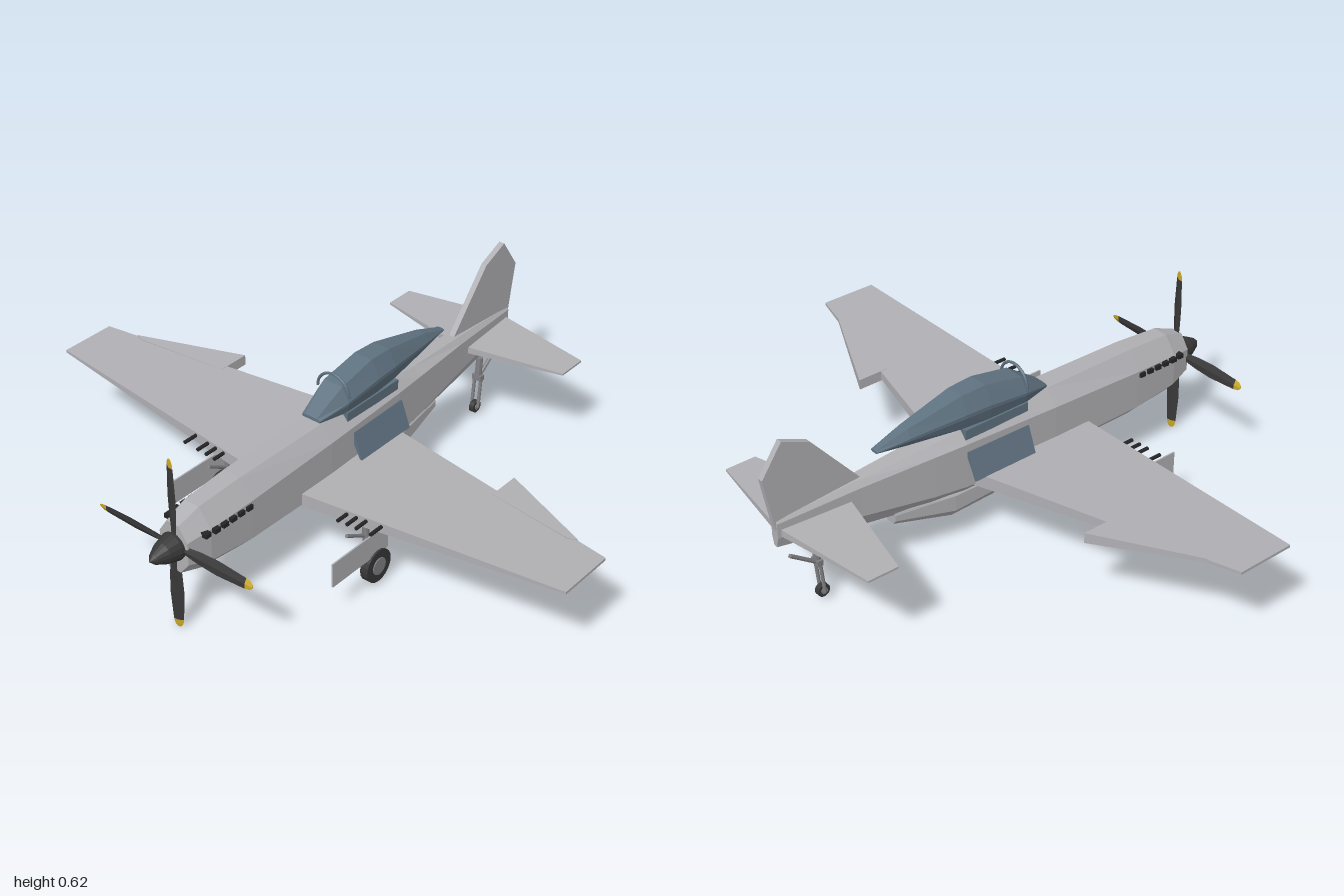
import * as THREE from 'three';

const mat = (name, color) => {
  const m = new THREE.MeshStandardMaterial({ color, flatShading: true });
  m.name = name;
  return m;
};

// Flat-shaded solid skinned over convex rings of equal point count, ends capped
function loft(rings) {
  const n = rings[0].length, tris = [];
  for (let i = 0; i < rings.length - 1; i++) {
    for (let j = 0; j < n; j++) {
      const k = (j + 1) % n, a = rings[i], b = rings[i + 1];
      tris.push([a[j], b[j], b[k]], [a[j], b[k], a[k]]);
    }
  }
  const first = rings[0], last = rings[rings.length - 1];
  for (let j = 1; j < n - 1; j++) {
    tris.push([first[0], first[j], first[j + 1]], [last[0], last[j + 1], last[j]]);
  }
  // Signed volume decides the winding, so mirrored rings still face outward
  let volume = 0;
  const c = new THREE.Vector3(...first[0]);
  for (const t of tris) {
    const [p, q, r] = t.map(v => new THREE.Vector3(...v).sub(c));
    volume += p.dot(q.cross(r));
  }
  if (volume < 0) tris.forEach(t => t.reverse());
  const g = new THREE.BufferGeometry();
  g.setAttribute('position', new THREE.Float32BufferAttribute(tris.flat(2), 3));
  g.computeVertexNormals();
  return g;
}

// Octagonal section: widths at top, middle and bottom
const octagon = ([z, top, shoulder, side, bottom, wTop, wMid, wBot]) => [
  [wTop, top, z], [wMid, shoulder, z], [wMid, side, z], [wBot, bottom, z],
  [-wBot, bottom, z], [-wMid, side, z], [-wMid, shoulder, z], [-wTop, top, z]];

export function createModel() {
  const group = new THREE.Group();
  const grey = mat('airframeGrey', 0xb0b0b4);
  const glass = mat('canopyBlue', 0x5f7280);
  const dark = mat('propellerDark', 0x383838);
  const black = mat('gunBlack', 0x242426);
  const yellow = mat('tipYellow', 0xc8a828);
  const metal = mat('strutGrey', 0x808084);

  const add = (name, geo, material, parent = group) => {
    const m = new THREE.Mesh(geo, material);
    m.name = name;
    parent.add(m);
    return m;
  };
  const box = (name, material, size, pos) => {
    const m = add(name, new THREE.BoxGeometry(...size), material);
    m.position.set(...pos);
    return m;
  };
  const rod = (name, material, a, b, r, sides = 8) => {
    const p = new THREE.Vector3(...a), q = new THREE.Vector3(...b);
    const m = add(name, new THREE.CylinderGeometry(r, r, p.distanceTo(q), sides), material);
    m.position.copy(p).add(q).multiplyScalar(0.5);
    m.quaternion.setFromUnitVectors(new THREE.Vector3(0, 1, 0), q.sub(p).normalize());
    return m;
  };
  const wheel = (name, x, y, z, r, width) => {
    rod(name + 'Tyre', dark, [x - width / 2, y, z], [x + width / 2, y, z], r, 20);
    rod(name + 'Hub', metal, [x - width / 2 - 0.003, y, z], [x + width / 2 + 0.003, y, z], r * 0.52, 16);
  };

  // Body
  add('fuselage', loft([
    [0.78, 0.382, 0.335, 0.258, 0.215, 0.022, 0.055, 0.022],
    [0.70, 0.410, 0.350, 0.240, 0.190, 0.028, 0.073, 0.028],
    [0.53, 0.420, 0.358, 0.224, 0.176, 0.032, 0.080, 0.033],
    [0.17, 0.422, 0.372, 0.220, 0.172, 0.036, 0.082, 0.035],
    [-0.18, 0.414, 0.376, 0.220, 0.174, 0.036, 0.070, 0.032],
    [-0.30, 0.400, 0.374, 0.230, 0.183, 0.030, 0.060, 0.026],
    [-0.56, 0.387, 0.368, 0.265, 0.220, 0.020, 0.036, 0.015],
    [-0.845, 0.367, 0.358, 0.307, 0.273, 0.008, 0.015, 0.007],
  ].map(octagon)), grey);
  add('radiatorScoop', loft([
    [0.0, 0.20, 0.19, 0.148, 0.118, 0.045, 0.055, 0.034],
    [-0.215, 0.20, 0.19, 0.135, 0.107, 0.045, 0.052, 0.030],
    [-0.43, 0.21, 0.20, 0.180, 0.165, 0.022, 0.026, 0.015],
  ].map(octagon)), grey);

  // Canopy and cockpit
  add('canopy', loft([
    [0.17, 0.436, 0.432, 0.430, 0.425, 0.022, 0.036, 0.034],
    [0.065, 0.505, 0.458, 0.450, 0.420, 0.036, 0.063, 0.055],
    [-0.08, 0.533, 0.475, 0.462, 0.419, 0.034, 0.065, 0.055],
    [-0.17, 0.529, 0.475, 0.462, 0.421, 0.032, 0.060, 0.048],
    [-0.37, 0.486, 0.460, 0.452, 0.434, 0.018, 0.034, 0.025],
    [-0.48, 0.451, 0.448, 0.446, 0.442, 0.006, 0.015, 0.010],
  ].map(octagon)), glass);
  const hoop = add('canopyHoop', new THREE.TorusGeometry(0.062, 0.005, 6, 20, Math.PI), glass);
  hoop.position.set(0, 0.475, 0.065);
  box('cockpitSill', glass, [0.124, 0.035, 0.25], [0, 0.405, -0.055]);

  // Tail fin
  const fin = [[-0.54, 0.385], [-0.71, 0.585], [-0.807, 0.627], [-0.88, 0.523], [-0.845, 0.33], [-0.6, 0.34]];
  add('tailFin', loft([-0.01, 0.01].map(x => fin.map(([z, y]) => [x, y, z]))), grey);

  // Parts repeated on each side
  for (const s of [1, -1]) {
    const panel = (x, zFront, zBack, yTop, yBottom) => [
      [s * x, yTop, zFront], [s * x, yTop, zBack], [s * x, yBottom, zBack], [s * x, yBottom, zFront]];
    add('wing', loft([panel(0, 0.316, -0.167, 0.256, 0.205), panel(1, 0.255, 0.055, 0.32, 0.311)]), grey);
    const aileron = [[0.55, -0.02], [0.55, -0.133], [0.89, 0.03], [0.86, 0.04]];
    add('aileron', loft([0.292, 0.256].map((y, i) =>
      aileron.map(([x, z]) => [s * x, y + (x - 0.55) * (i ? 0.135 : 0.07), z]))), grey);
    add('tailplane', loft([panel(0.0, -0.585, -0.835, 0.335, 0.31), panel(0.36, -0.67, -0.777, 0.324, 0.317)]), grey);
    add('cockpitSidePanel', loft([0.06, -0.18].map(z => [
      [s * 0.078, 0.352, z], [s * 0.112, 0.262, z], [s * 0.106, 0.258, z], [s * 0.06, 0.345, z]])), glass);

    // Exhaust stubs
    for (let i = 0; i < 6; i++) {
      const z = 0.545 + i * 0.035;
      box('exhaustStub', black, [0.028, 0.015, 0.022], [s * (i > 4 ? 0.07 : 0.074), 0.344, z]);
    }
    // Wing guns
    for (const x of [0.25, 0.285, 0.32, 0.375]) {
      const y = 0.243 + x * 0.068;
      rod('wingGun', black, [s * x, y, 0.26], [s * x, y, 0.345], 0.006);
    }
    // Main landing gear
    wheel('mainWheel', s * 0.32, 0.075, 0.25, 0.057, 0.028);
    rod('mainStrut', metal, [s * 0.278, 0.235, 0.25], [s * 0.288, 0.075, 0.25], 0.011);
    rod('mainAxle', metal, [s * 0.285, 0.075, 0.25], [s * 0.32, 0.075, 0.25], 0.009);
    rod('mainBrace', metal, [s * 0.28, 0.165, 0.25], [s * 0.28, 0.215, 0.34], 0.006);
    box('gearDoor', grey, [0.005, 0.085, 0.26], [s * 0.325, 0.16, 0.33]);
  }

  // Tail wheel
  wheel('tailWheel', 0, 0.037, -0.693, 0.022, 0.018);
  rod('tailStrut', metal, [0, 0.225, -0.71], [0, 0.15, -0.705], 0.012);
  for (const s of [1, -1]) rod('tailFork', metal, [s * 0.013, 0.155, -0.705], [s * 0.013, 0.037, -0.693], 0.006);
  box('tailForkBridge', metal, [0.036, 0.02, 0.02], [0, 0.15, -0.705]);
  rod('tailBrace', metal, [0, 0.15, -0.71], [0, 0.215, -0.80], 0.007);

  // Propeller with yellow tips
  const propeller = new THREE.Group();
  propeller.name = 'propeller';
  propeller.position.set(0, 0.304, 0.778);
  group.add(propeller);
  const spinner = new THREE.LatheGeometry(
    [[0, -0.01], [0.046, -0.01], [0.046, 0.012], [0.036, 0.05], [0.018, 0.086], [0, 0.104]].map(p => new THREE.Vector2(...p)), 16);
  add('spinner', spinner.rotateX(Math.PI / 2), dark, propeller);
  const bladeRing = ([r, w, t]) => [[w, r, 0.3 * w], [0, r, t], [-w, r, -0.3 * w], [0, r, -t]];
  for (let i = 0; i < 4; i++) {
    const blade = new THREE.Group();
    blade.name = 'propellerBlade';
    blade.rotation.z = i * Math.PI / 2;
    propeller.add(blade);
    add('blade', loft([[0.03, 0.011, 0.008], [0.1, 0.019, 0.006], [0.17, 0.022, 0.005],
      [0.275, 0.016, 0.004]].map(bladeRing)), dark, blade);
    add('bladeTip', loft([[0.275, 0.016, 0.004], [0.292, 0.013, 0.003], [0.302, 0.006, 0.002]].map(bladeRing)), yellow, blade);
  }
  return group;
}
